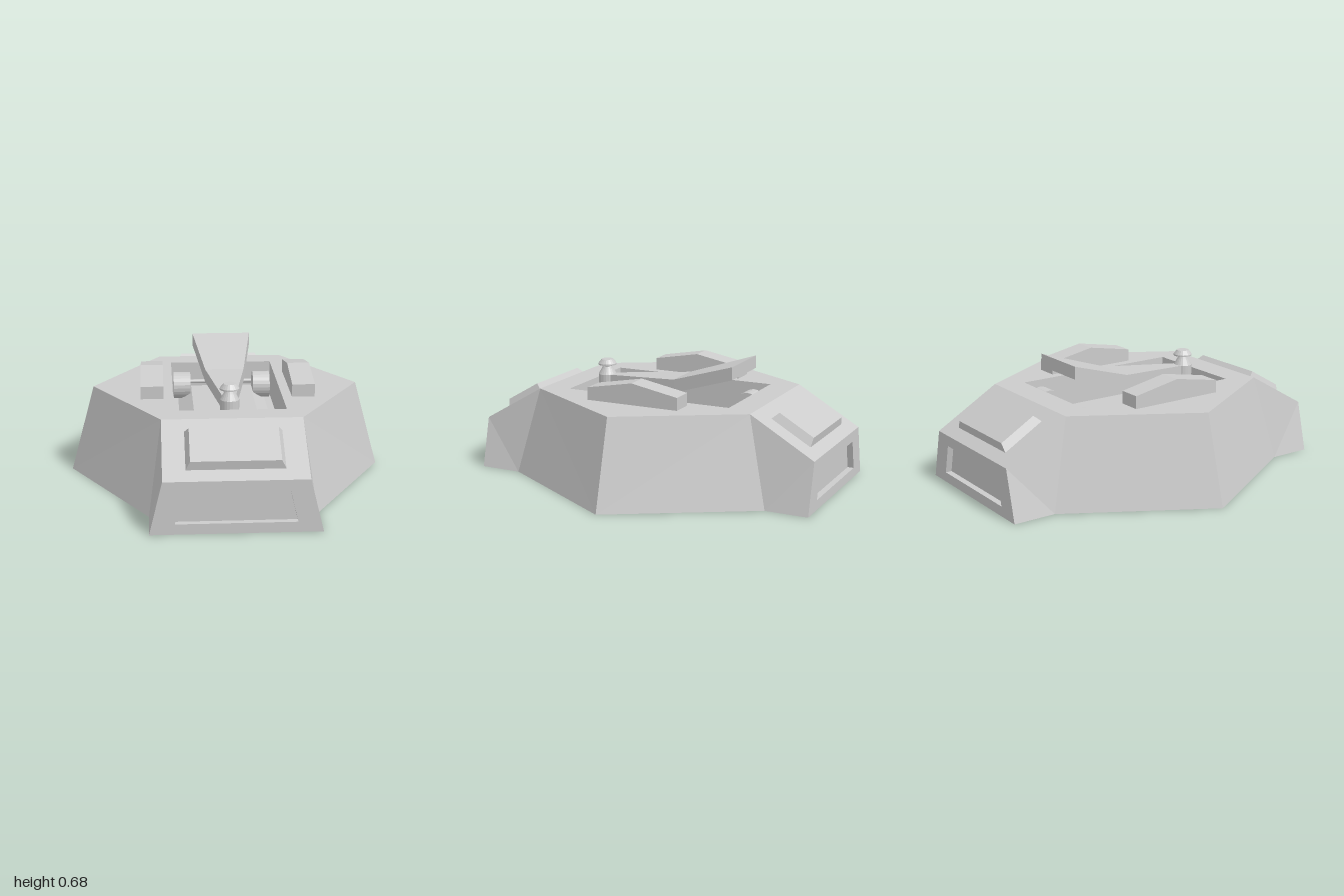
import * as THREE from 'three';

const material = new THREE.MeshStandardMaterial({ color: 0xcccccc, flatShading: true });
const smooth = new THREE.MeshStandardMaterial({ color: 0xcccccc });

function add(parent, name, geometry, mat = material) {
  const mesh = new THREE.Mesh(geometry, mat);
  mesh.name = name;
  parent.add(mesh);
  return mesh;
}

// Flat polygons, each turned away from (or towards) a centre point
function polygons(list, centre, inward = false) {
  const out = [];
  for (const poly of list) {
    const p = poly.map((c) => new THREE.Vector3(...c));
    for (let i = 1; i < p.length - 1; i++) {
      const tri = new THREE.Triangle(p[0], p[i], p[i + 1]);
      const away = tri.getMidpoint(new THREE.Vector3()).sub(centre);
      const facing = tri.getNormal(new THREE.Vector3()).dot(away) > 0;
      const order = facing !== inward ? [p[0], p[i], p[i + 1]] : [p[0], p[i + 1], p[i]];
      order.forEach((v) => out.push(v.x, v.y, v.z));
    }
  }
  const g = new THREE.BufferGeometry();
  g.setAttribute('position', new THREE.Float32BufferAttribute(out, 3));
  g.computeVertexNormals();
  return g;
}

// Convex solid between two loops; an inward one is a recess open at loop b
function loft(a, b, inward = false) {
  const centre = new THREE.Vector3();
  [...a, ...b].forEach((c) => centre.add(new THREE.Vector3(...c)));
  centre.divideScalar(a.length + b.length);
  const faces = a.map((c, i) => {
    const j = (i + 1) % a.length;
    return [c, a[j], b[j], b[i]];
  });
  faces.push(a);
  if (!inward) faces.push(b);
  return polygons(faces, centre, inward);
}

const rectY = (x, z0, z1, y) => [[-x, y, z0], [x, y, z0], [x, y, z1], [-x, y, z1]];

function shapeFrom(points, hole) {
  const s = new THREE.Shape(points.map((p) => new THREE.Vector2(...p)));
  if (hole) s.holes.push(new THREE.Path(hole.map((p) => new THREE.Vector2(...p))));
  return s;
}

export function createModel() {
  const model = new THREE.Group();
  model.name = 'bunker';
  const TOP = 0.49, FLOOR = 0.29;

  // Sloping hull sides, mirrored into four quarters
  const hull = [];
  for (const sx of [1, -1]) for (const sz of [1, -1]) {
    const m = ([x, y, z]) => [x * sx, y, z * sz];
    hull.push([[0.88, 0, 0], [0.44, 0, 0.76], [0.37, TOP, 0.64], [0.745, TOP, 0]].map(m));
    hull.push([[0.44, 0, 0.76], [0.44, 0, 1], [0.37, 0.28, 1], [0.37, TOP, 0.64]].map(m));
    hull.push([[0, 0, 0], [0.88, 0, 0], [0.44, 0, 0.76], [0.44, 0, 1], [0, 0, 1]].map(m));
  }
  add(model, 'hull', polygons(hull, new THREE.Vector3(0, 0.2, 0)));

  // Roof with the well opening
  const roof = new THREE.ShapeGeometry(shapeFrom(
    [[0.745, 0], [0.37, 0.64], [-0.37, 0.64], [-0.745, 0], [-0.37, -0.64], [0.37, -0.64]],
    [[-0.3, -0.49], [-0.3, 0.49], [0.3, 0.49], [0.3, -0.49]]));
  roof.rotateX(-Math.PI / 2).translate(0, TOP, 0);
  add(model, 'roof', roof);
  add(model, 'well', loft(rectY(0.3, -0.49, 0.49, FLOOR), rectY(0.3, -0.49, 0.49, TOP), true));

  // Projecting ends: sloped top, recessed window and raised hatch
  for (const side of [0, 1]) {
    const end = new THREE.Group();
    end.name = side ? 'backEnd' : 'frontEnd';
    end.rotation.y = side * Math.PI;
    model.add(end);
    add(end, 'slope', polygons(
      [[[-0.37, TOP, 0.64], [0.37, TOP, 0.64], [0.37, 0.28, 1], [-0.37, 0.28, 1]]],
      new THREE.Vector3(0, 0, 0.5)));
    const win = [[-0.31, 0.055], [-0.27, 0.22], [0.27, 0.22], [0.31, 0.055]];
    const wall = new THREE.ShapeGeometry(shapeFrom(
      [[-0.44, 0], [0.44, 0], [0.37, 0.28], [-0.37, 0.28]], win));
    add(end, 'endWall', wall.translate(0, 0, 1));
    add(end, 'window', loft(win.map(([x, y]) => [x, y, 0.965]), win.map(([x, y]) => [x, y, 1]), true));
    const hatch = add(end, 'hatch',
      loft(rectY(0.255, -0.13, 0.13, -0.005), rectY(0.23, -0.112, 0.112, 0.045)));
    hatch.position.set(0, 0.382, 0.825);
    hatch.rotation.x = Math.atan2(0.21, 0.36);
  }

  // Peaked pods on both sides of the well
  const podProfile = shapeFrom([[-0.27, TOP], [0.27, TOP], [0.27, 0.56], [0, 0.61], [-0.27, 0.56]]);
  for (const s of [1, -1]) {
    const pod = new THREE.ExtrudeGeometry(podProfile, { depth: 0.125, bevelEnabled: false });
    pod.translate(0, 0, -0.0625).rotateY(-Math.PI / 2).translate(s * 0.415, 0, 0);
    add(model, 'sidePod', pod);
  }

  // Bedding block, rear rollers and front wedges inside the well
  add(model, 'bed', loft(rectY(0.26, -0.47, 0.4, FLOOR), rectY(0.18, -0.47, 0.4, FLOOR + 0.06)));
  for (const s of [1, -1]) {
    const roller = new THREE.CylinderGeometry(0.078, 0.078, 0.1, 24);
    roller.rotateZ(Math.PI / 2).translate(s * 0.237, 0.375, -0.395);
    add(model, 'roller', roller, smooth).material = material;
    const x0 = s * 0.1, x1 = s * 0.19;
    add(model, 'frontWedge', loft(
      [[x0, FLOOR, 0.4], [x0, FLOOR, 0.48], [x0, FLOOR + 0.06, 0.4]],
      [[x1, FLOOR, 0.4], [x1, FLOOR, 0.48], [x1, FLOOR + 0.06, 0.4]]));
  }
  const rod = new THREE.CylinderGeometry(0.012, 0.012, 0.38, 10);
  add(model, 'rearRod', rod.rotateZ(Math.PI / 2).translate(0, 0.375, -0.475), smooth);

  // Pedestal under the pivot
  const pedestal = new THREE.ExtrudeGeometry(shapeFrom(
    [[-0.1, -0.48], [0.1, -0.48], [0.1, -0.31], [0.07, -0.25], [-0.07, -0.25], [-0.1, -0.31]]),
  { depth: 0.1, bevelEnabled: false });
  add(model, 'pedestal', pedestal.rotateX(-Math.PI / 2).translate(0, FLOOR, 0));

  // Kinked arm widening from the pivot to its raised rear end
  const section = (w, y0, y1, z) => [[-w, y0, z], [w, y0, z], [w, y1, z], [-w, y1, z]];
  const stations = [section(0.03, 0.45, 0.525, 0.4), section(0.11, 0.485, 0.56, -0.07),
    section(0.17, 0.608, 0.68, -0.45)];
  for (let i = 0; i < 2; i++) add(model, i ? 'armRear' : 'armFront', loft(stations[i], stations[i + 1]));

  // Turned pivot post
  const post = [[0.052, 0.38], [0.052, 0.525], [0.032, 0.56], [0.026, 0.572], [0.053, 0.58],
    [0.053, 0.588], [0.034, 0.612], [0, 0.612]];
  const pivot = new THREE.LatheGeometry(post.map((p) => new THREE.Vector2(...p)), 20);
  add(model, 'pivotPost', pivot.translate(0, 0, 0.41));

  return model;
}
